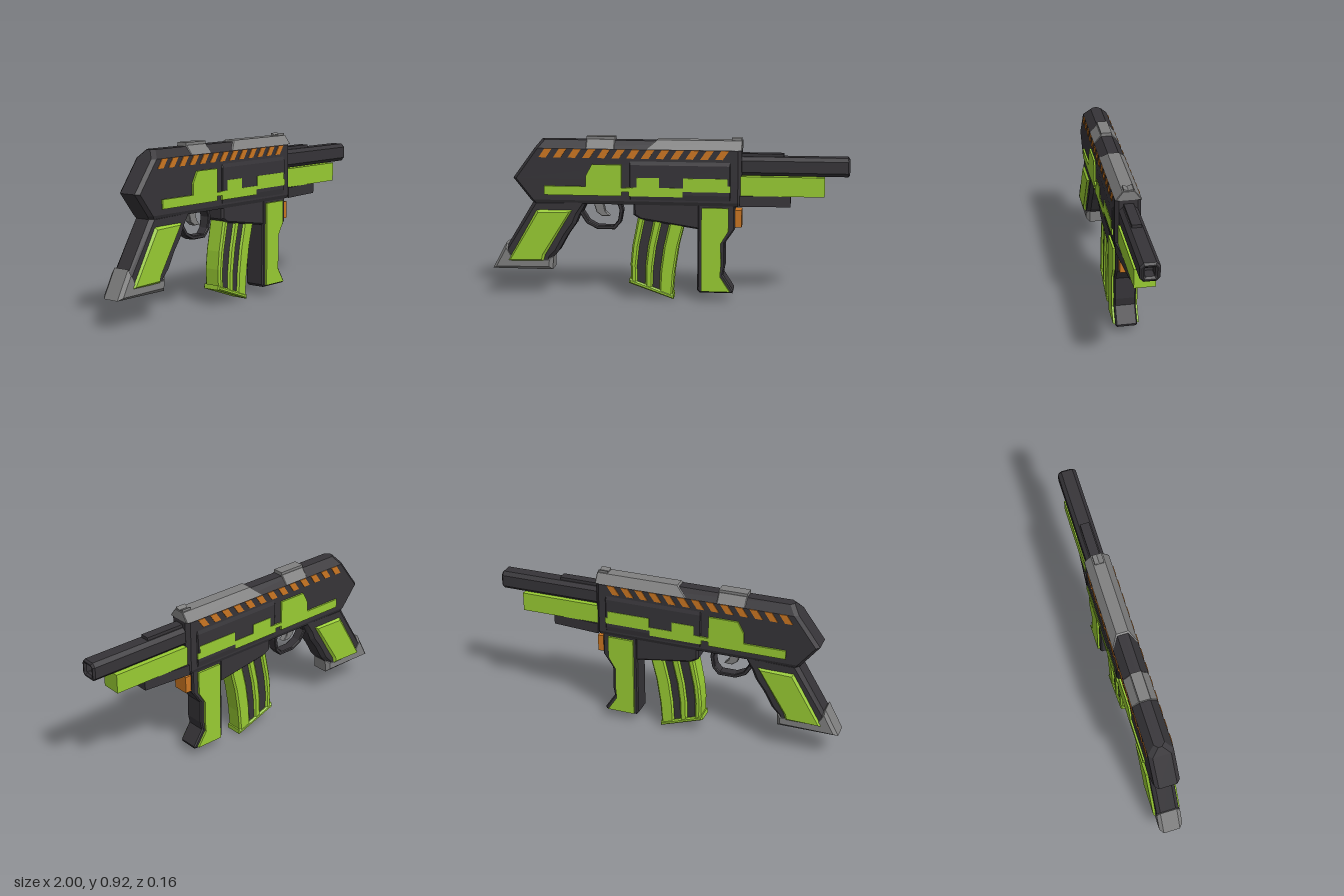
import * as THREE from 'three';

const mat = (color) => new THREE.MeshStandardMaterial({ color, flatShading: true });

export function createModel() {
  const root = new THREE.Group();
  const dark = mat(0x363438), green = mat(0x99cc33), orange = mat(0xcc7722), grey = mat(0x808080);

  const add = (name, geometry, material, parent = root) => {
    const mesh = new THREE.Mesh(geometry, material);
    mesh.name = name;
    parent.add(mesh);
    return mesh;
  };
  const outline = (pts) => new THREE.Shape(pts.map(([x, y]) => new THREE.Vector2(x, y)));

  // Side outline extruded across z to half width hz, with edges chamfered by b
  const slab = (pts, hz, b = 0) => {
    const g = new THREE.ExtrudeGeometry(outline(pts), {
      depth: 2 * (hz - b), bevelEnabled: b > 0, bevelThickness: b, bevelSize: b, bevelOffset: -b, bevelSegments: 1,
    });
    return g.translate(0, 0, -(hz - b));
  };
  const box = (x0, x1, y0, y1, hz) =>
    new THREE.BoxGeometry(x1 - x0, y1 - y0, 2 * hz).translate((x0 + x1) / 2, (y0 + y1) / 2, 0);

  // Loft of chamfered rectangles stacked in y; rows are [y, x0, x1, halfWidth]
  const stack = (rows, c) => {
    const pos = [], idx = [], last = (rows.length - 1) * 8;
    for (const [y, x0, x1, h] of rows) {
      pos.push(x0, y, c - h, x0 + c, y, -h, x1 - c, y, -h, x1, y, c - h);
      pos.push(x1, y, h - c, x1 - c, y, h, x0 + c, y, h, x0, y, h - c);
    }
    for (let r = 0; r < last; r += 8) {
      for (let i = 0; i < 8; i++) {
        const a = r + i, b = r + (i + 1) % 8;
        idx.push(a, a + 8, b, b, a + 8, b + 8);
      }
    }
    for (let i = 1; i < 7; i++) idx.push(0, i, i + 1, last, last + i + 1, last + i);
    let g = new THREE.BufferGeometry();
    g.setAttribute('position', new THREE.Float32BufferAttribute(pos, 3));
    g.setIndex(idx);
    g = g.toNonIndexed();
    g.computeVertexNormals();
    return g;
  };

  // Main body with sloped roof and pointed back
  add('body', stack([
    [0.54, -0.76, 0.41, 0.062], [0.56, -0.775, 0.41, 0.07], [0.68, -0.87, 0.41, 0.07],
    [0.85, -0.745, 0.41, 0.07], [0.895, -0.71, 0.41, 0.03],
  ], 0.02), dark);
  add('raisedSidePanel', stack([
    [0.57, -0.21, 0.35, 0.071], [0.6, -0.21, 0.35, 0.077], [0.765, -0.21, 0.35, 0.077], [0.785, -0.21, 0.35, 0.07],
  ], 0.005), dark);
  add('sidePlates', slab([
    [-0.69, 0.59], [-0.255, 0.59], [-0.255, 0.615], [-0.215, 0.615], [-0.215, 0.59], [0.085, 0.59],
    [0.085, 0.62], [0.35, 0.62], [0.35, 0.655], [0.335, 0.655], [0.335, 0.695], [0.09, 0.695],
    [0.09, 0.64], [-0.045, 0.64], [-0.045, 0.695], [-0.17, 0.695], [-0.17, 0.64], [-0.255, 0.635],
    [-0.255, 0.765], [-0.42, 0.765], [-0.455, 0.7], [-0.455, 0.64], [-0.69, 0.64],
  ], 0.08), green);

  // Row of slanted stripes
  const stripes = new THREE.Group();
  stripes.name = 'stripes';
  root.add(stripes);
  for (let i = 0; i < 13; i++) {
    const x = -0.72 + i * 0.082;
    add('stripe', slab([[x, 0.8], [x + 0.042, 0.8], [x + 0.076, 0.85], [x + 0.034, 0.85]], 0.074), orange, stripes);
  }

  // Top rails and sights
  add('rearSightBase', stack([[0.853, -0.455, -0.295, 0.07], [0.9, -0.455, -0.295, 0.033]], 0.004), grey);
  add('rearSight', box(-0.455, -0.295, 0.89, 0.915, 0.03), grey);
  add('topRail', stack([[0.853, -0.12, 0.412, 0.07], [0.902, -0.06, 0.412, 0.033]], 0.004), grey);
  const notch = new THREE.ExtrudeGeometry(
    outline([[-0.026, 0.89], [0.026, 0.89], [0.026, 0.915], [0, 0.905], [-0.026, 0.915]]),
    { depth: 0.055, bevelEnabled: false });
  add('frontSight', notch.rotateY(Math.PI / 2).translate(0.352, 0, 0), grey);

  // Barrel with square bore
  const ring = (h, c) => [[-h, c - h], [c - h, -h], [h - c, -h], [h, c - h], [h, h - c], [h - c, h], [c - h, h], [-h, h - c]];
  const section = outline(ring(0.052, 0.02));
  section.holes.push(outline(ring(0.025, 0.002).reverse()));
  const tube = new THREE.ExtrudeGeometry(section, {
    depth: 0.58, bevelThickness: 0.01, bevelSize: 0.01, bevelOffset: -0.01, bevelSegments: 1,
  });
  add('barrel', tube.rotateY(Math.PI / 2).translate(0.41, 0.763, 0), dark);
  add('boreBack', box(0.41, 0.93, 0.73, 0.796, 0.035), dark);
  add('barrelRail', box(0.4, 0.64, 0.8, 0.832, 0.026), dark);
  add('foreBlock', box(0.4, 0.865, 0.6, 0.708, 0.056), green);

  // Lower rail narrowing towards its front end
  const lower = box(0.4, 0.68, 0.54, 0.6, 0.068);
  const p = lower.attributes.position;
  for (let i = 0; i < p.count; i++) if (p.getX(i) > 0.6) p.setZ(i, p.getZ(i) * 0.64);
  lower.computeVertexNormals();
  add('lowerRail', lower, dark);

  // Rear grip
  add('rearGrip', slab([
    [-0.75, 0.56], [-0.45, 0.56], [-0.5, 0.47], [-0.52, 0.42], [-0.57, 0.35], [-0.62, 0.26],
    [-0.657, 0.22], [-0.657, 0.18], [-0.98, 0.18],
  ], 0.064, 0.02), dark);
  add('rearGripBase', slab([
    [-1, 0.155], [-0.655, 0.155], [-0.65, 0.232], [-0.87, 0.232], [-0.92, 0.305],
  ], 0.067, 0.02), grey);
  add('rearGripPlates', slab([
    [-0.74, 0.505], [-0.53, 0.505], [-0.69, 0.24], [-0.7, 0.2], [-0.915, 0.2],
  ], 0.077, 0.018), green);

  // Trigger and its guard
  add('triggerGuard', slab([
    [-0.54, 0.49], [-0.5, 0.48], [-0.46, 0.42], [-0.4, 0.39], [-0.3, 0.39], [-0.265, 0.43], [-0.252, 0.5], [-0.265, 0.55],
    [-0.29, 0.55], [-0.273, 0.5], [-0.283, 0.44], [-0.31, 0.41], [-0.395, 0.41], [-0.445, 0.435], [-0.48, 0.49], [-0.45, 0.55], [-0.5, 0.55],
  ], 0.03, 0.004), dark);
  add('trigger', slab([
    [-0.425, 0.55], [-0.405, 0.485], [-0.375, 0.463], [-0.33, 0.465], [-0.355, 0.49], [-0.37, 0.55],
  ], 0.018, 0.003), grey);

  // Magazine housing, and a curved magazine cut into strips
  add('magazineHousing', slab([
    [-0.19, 0.56], [-0.19, 0.48], [-0.15, 0.455], [0.18, 0.405], [0.18, 0.56],
  ], 0.06, 0.01), dark);
  const left = [[-0.16, 0.5], [-0.2, 0.3], [-0.21, 0.2], [-0.207, 0.09]];
  const right = [[0.11, 0.5], [0.06, 0.3], [0.037, 0.15], [0.025, 0.01]];
  const strip = (u0, u1) => {
    const edge = (u) => left.map(([x, y], i) => [x + (right[i][0] - x) * u, y + (right[i][1] - y) * u]);
    return [...edge(u0), ...edge(u1).reverse()];
  };
  const magazine = new THREE.Group();
  magazine.name = 'magazine';
  root.add(magazine);
  add('magazineCore', slab(strip(0.05, 0.95), 0.043), dark, magazine);
  for (const [u0, u1] of [[0, 0.15], [0.34, 0.52], [0.68, 1]])
    add('magazineStrip', slab(strip(u0, u1), 0.053, 0.01), green, magazine);
  add('magazineFoot', slab([[-0.22, 0.088], [0.033, 0], [0.033, 0.026], [-0.216, 0.114]], 0.056, 0.008), green, magazine);

  // Front grip and its side plates
  add('frontGrip', slab([
    [0.17, 0.56], [0.375, 0.56], [0.375, 0.41], [0.32, 0.33], [0.322, 0.2], [0.312, 0.15],
    [0.37, 0.06], [0.365, 0.045], [0.18, 0.045], [0.167, 0.06],
  ], 0.06, 0.007), dark);
  add('frontGripPlates', slab([
    [0.19, 0.53], [0.34, 0.53], [0.34, 0.4], [0.298, 0.33], [0.3, 0.2], [0.295, 0.14], [0.35, 0.055], [0.19, 0.055],
  ], 0.072), green);
  add('frontButton', box(0.365, 0.412, 0.42, 0.517, 0.046), orange);

  return root;
}
